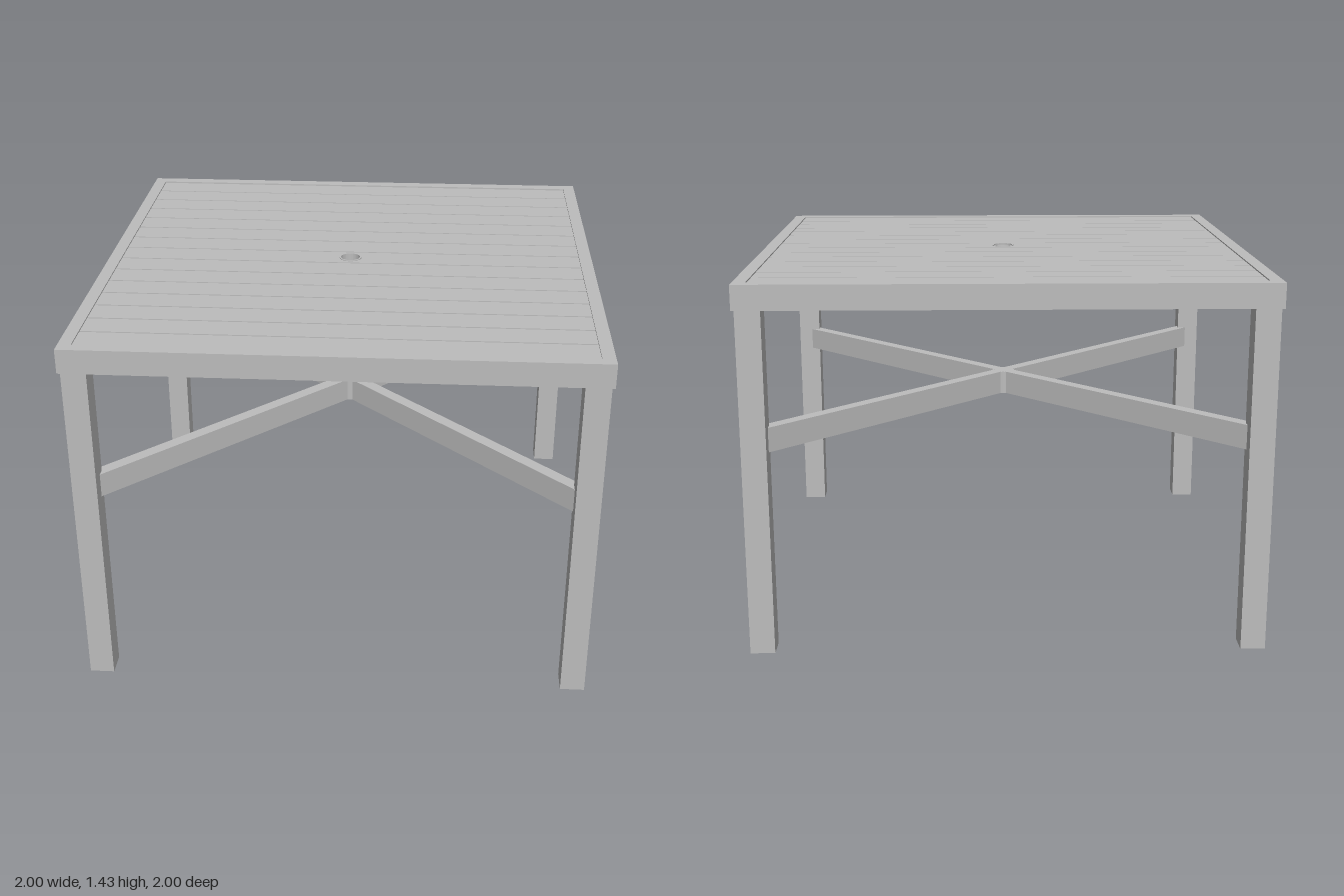
import * as THREE from 'three';

export function createModel() {
  const model = new THREE.Group();
  const grey = new THREE.MeshStandardMaterial({ color: 0xbcbcbc });
  grey.name = 'paintedGrey';
  const greyOpen = new THREE.MeshStandardMaterial({ color: 0xbcbcbc, side: THREE.DoubleSide });
  greyOpen.name = 'paintedGreyOpen';

  function add(name, geometry, x = 0, y = 0, z = 0, material = grey) {
    const mesh = new THREE.Mesh(geometry, material);
    mesh.name = name;
    mesh.position.set(x, y, z);
    model.add(mesh);
    return mesh;
  }
  const box = (name, w, h, d, x, y, z) => add(name, new THREE.BoxGeometry(w, h, d), x, y, z);

  function rectangle(w, d) {
    const x = w / 2, y = d / 2;
    return new THREE.Shape([[-x, -y], [x, -y], [x, y], [-x, y]].map(p => new THREE.Vector2(...p)));
  }
  // Horizontal plate with an opening, rising from its base
  function plate(outline, hole, height) {
    outline.holes.push(hole);
    return new THREE.ExtrudeGeometry(outline, { depth: height, bevelEnabled: false, curveSegments: 24 })
      .rotateX(-Math.PI / 2);
  }

  // Square rim around the top
  add('topFrame', plate(rectangle(2, 2), rectangle(1.9, 1.9), 0.095), 0, 1.335, 0);

  // Fifteen slats, the middle one with a round hole
  const pitch = 1.9 / 15, gap = 0.008;
  for (let i = -7; i <= 7; i++) {
    if (i === 0) {
      const hole = new THREE.Path().absarc(0, 0, 0.045, 0, Math.PI * 2, true);
      add('middleSlat', plate(rectangle(1.9, pitch - gap), hole, 0.025), 0, 1.4, 0);
    } else {
      box('slat', 1.9, 0.025, pitch - gap, 0, 1.4125, i * pitch);
    }
  }

  // Rails under the slats
  for (const x of [-0.92, -0.37, 0.37, 0.92]) box('slatRail', 0.06, 0.035, 1.9, x, 1.3825, 0);
  for (const s of [-1, 1]) box('hubRail', 0.3, 0.035, 0.04, s * 0.193, 1.3825, 0);

  // Hollow sleeve through the top
  const sleeve = [[0.039, 1.3], [0.046, 1.3], [0.046, 1.428], [0.039, 1.428], [0.039, 1.3]];
  const points = sleeve.map(p => new THREE.Vector2(...p));
  const sleeveGeometry = new THREE.LatheGeometry(points, 32).toNonIndexed();
  sleeveGeometry.computeVertexNormals();
  add('sleeve', sleeveGeometry, 0, 0, 0, greyOpen);

  // Square tube legs, open at the foot
  for (const sx of [-1, 1]) {
    for (const sz of [-1, 1]) {
      const tube = new THREE.CylinderGeometry(0.095 / Math.SQRT2, 0.095 / Math.SQRT2, 1.336, 4, 1, true)
        .rotateY(Math.PI / 4).toNonIndexed();
      tube.computeVertexNormals();
      add('leg', tube, sx * 0.9425, 0.668, sz * 0.9425, greyOpen);
    }
  }

  // Crossed diagonal braces joined at a small post
  for (const s of [-1, 1]) {
    box('diagonalBrace', 0.92 * 2 * Math.SQRT2, 0.095, 0.05, 0, 0.8325, 0).rotation.y = s * Math.PI / 4;
  }
  add('bracePost', new THREE.CylinderGeometry(0.048, 0.048, 0.094, 24), 0, 0.8325, 0);

  return model;
}
